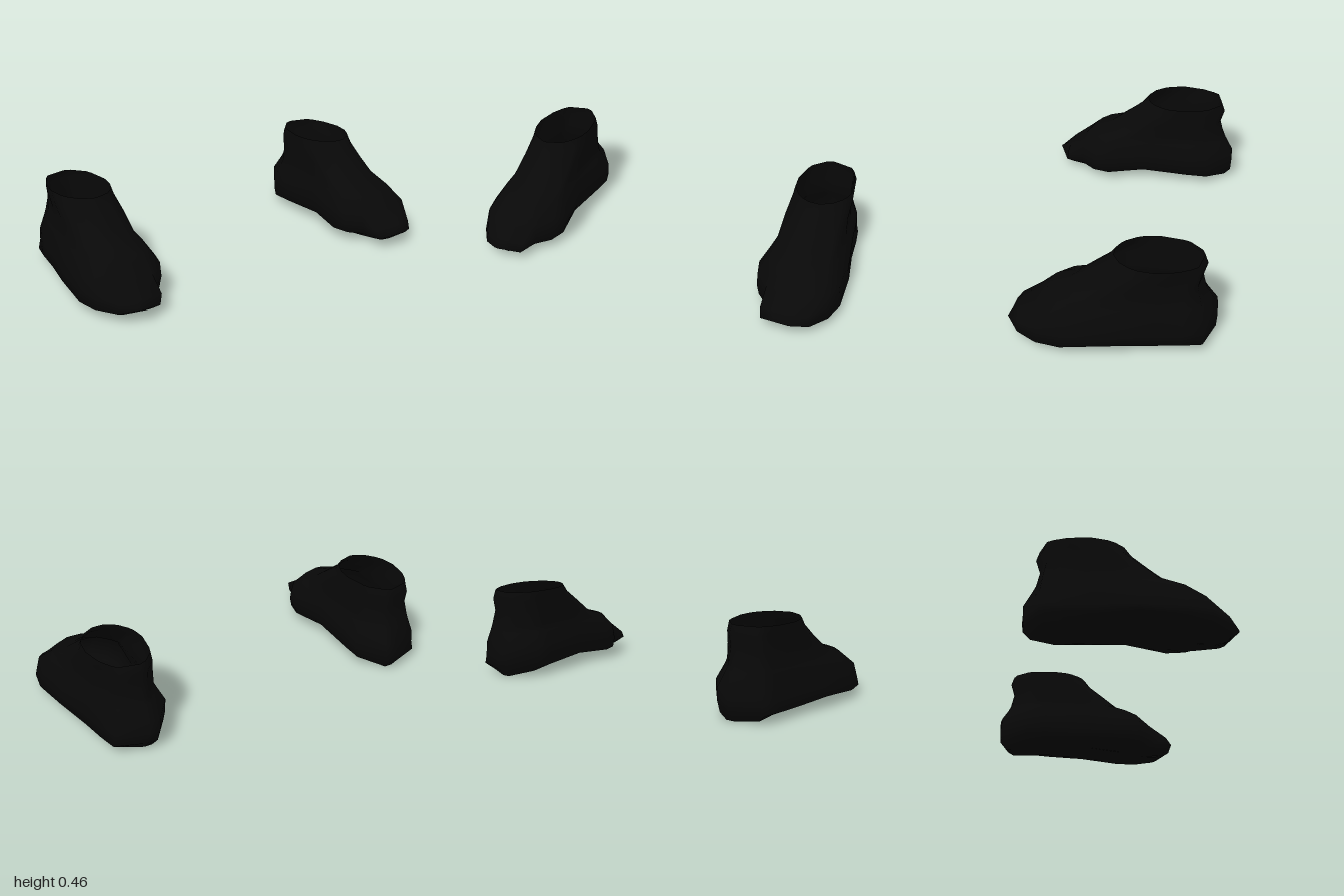
import * as THREE from 'three';

const black = new THREE.MeshStandardMaterial({ color: 0x080808, side: THREE.DoubleSide });
black.name = 'black';

// Plan outline of the foot (x, z), from beside the toe tip round the outer side and heel
const OUTLINE = [
  [0.81, 0.5], [0.9, 0.44], [0.97, 0.34], [0.995, 0.22], [0.975, 0], [0.93, -0.2],
  [0.91, -0.35], [0.89, -0.45], [0.73, -0.51], [0.67, -0.51], [0.565, -0.37], [0.57, -0.26],
  [0.58, 0], [0.545, 0.2], [0.57, 0.29], [0.64, 0.36]];

// Height rings: y, xMin, xMax, zMin, zMax,
// then the blend from ellipse (0) to foot outline (1) at the toe and at the heel
const RINGS = [
  [0.457, 0.61, 0.91, -0.443, -0.012, 0, 0.1],
  [0.41, 0.605, 0.915, -0.458, 0.025, 0, 0.3],
  [0.345, 0.6, 0.918, -0.437, 0.11, 0.1, 0.5],
  [0.27, 0.6, 0.93, -0.455, 0.21, 0.25, 0.6],
  [0.24, 0.585, 0.945, -0.47, 0.31, 0.4, 0.65],
  [0.165, 0.548, 0.985, -0.51, 0.365, 0.8, 0.85],
  [0.1, 0.555, 0.987, -0.51, 0.455, 0.95, 0.95],
  [0.048, 0.57, 0.997, -0.505, 0.51, 1, 1]];

// Height of the sole along z: heel, arch, ball, raised toe
const SOLE = [[-0.51, 0.02], [-0.47, 0], [-0.05, 0.055], [0.13, 0.047], [0.36, 0.008], [0.43, 0.02], [0.52, 0.075]];
function soleHeight(z) {
  for (let i = 1; i < SOLE.length; i++) {
    const [z0, y0] = SOLE[i - 1], [z1, y1] = SOLE[i];
    if (z <= z1) return y0 + (y1 - y0) * Math.max(0, (z - z0) / (z1 - z0));
  }
  return 0.075;
}

function makeShoe(name, side, toePoints) {
  const outline = [...OUTLINE, ...toePoints];
  const n = outline.length, positions = [], indices = [];
  const put = (x, y, z) => positions.push(side * x, y, z);

  // Upper: each ring morphs from ankle ellipse to a foot outline cut blunt at its toe
  const edge = [];
  RINGS.forEach(([y, x0, x1, z0, z1, toeBlend, heelBlend], r) => {
    for (const [px, pz] of outline) {
      const u = (px - 0.545) / 0.45, v = (pz + 0.51) / 1.02;
      const a = Math.atan2(u - 0.5, v - 0.5);
      const k = THREE.MathUtils.lerp(heelBlend, toeBlend, 0.5 + 0.5 * Math.cos(a));
      const x = x0 + (x1 - x0) * THREE.MathUtils.lerp(0.5 + 0.5 * Math.sin(a), u, k);
      const ellipseZ = z0 + (z1 - z0) * (0.5 + 0.5 * Math.cos(a));
      const z = THREE.MathUtils.lerp(ellipseZ, THREE.MathUtils.clamp(pz, z0, z1), k);
      const last = r === RINGS.length - 1;
      put(x, last ? Math.max(y, soleHeight(z) + 0.008) : y, z);
      if (last) edge.push([x, z]);
    }
  });

  // Sole: an inset ring, then a ring closed onto the centre line
  for (const [sx, sz, lift] of [[0.72, 0.93, 0.005], [0, 0.91, 0]]) {
    for (const [x, z] of edge) {
      const centre = z < 0 ? 0.74 : 0.76;
      put(centre + (x - centre) * sx, soleHeight(z * sz) + lift, z * sz);
    }
  }

  for (let r = 0; r < RINGS.length + 1; r++) {
    for (let j = 0; j < n; j++) {
      const a = r * n + j, b = r * n + (j + 1) % n, c = a + n, d = b + n;
      if (side > 0) indices.push(c, d, b, c, b, a);
      else indices.push(c, b, d, c, a, b);
    }
  }
  const geometry = new THREE.BufferGeometry();
  geometry.setAttribute('position', new THREE.Float32BufferAttribute(positions, 3));
  geometry.setIndex(indices);
  geometry.computeVertexNormals();
  const mesh = new THREE.Mesh(geometry, black);
  mesh.name = name;
  return mesh;
}

export function createModel() {
  const group = new THREE.Group();
  group.name = 'pairOfShoes';
  // The left toe has a squared inner corner, the right toe a blunt point
  group.add(makeShoe('leftShoe', 1, [[0.65, 0.485], [0.72, 0.49]]));
  group.add(makeShoe('rightShoe', -1, [[0.67, 0.46], [0.78, 0.51]]));
  return group;
}
